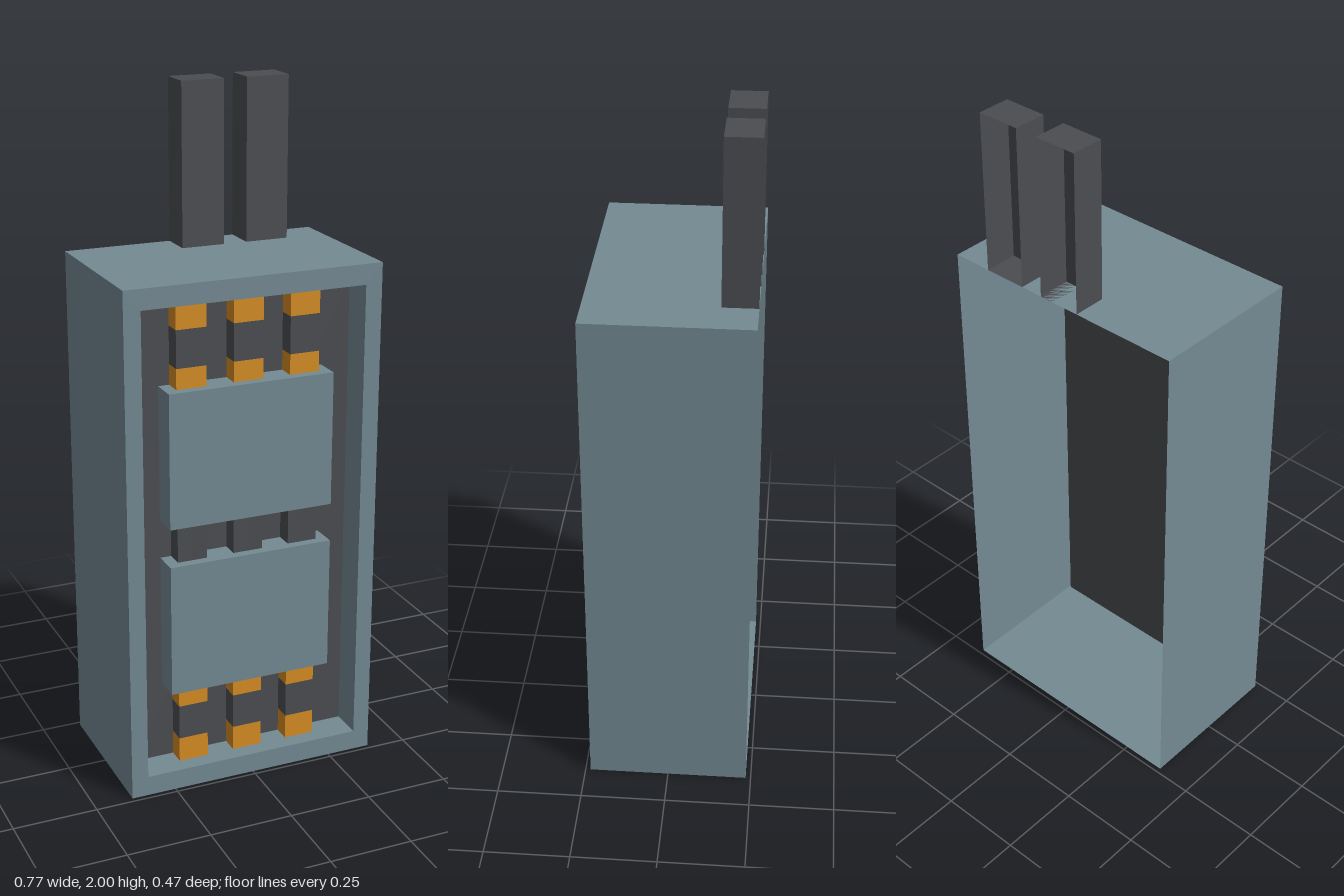
import * as THREE from 'three';

const material = (name, color) => {
  const m = new THREE.MeshStandardMaterial({ color, side: THREE.DoubleSide });
  m.name = name;
  return m;
};

export function createModel() {
  const blueGrey = material('blue grey casing', 0x748a93);
  const charcoal = material('charcoal', 0x4b4d51);
  const orange = material('orange contacts', 0xd68d23);

  const model = new THREE.Group();
  model.name = 'electricalCabinet';

  const add = (name, geometry, mat, parent = model) => {
    const mesh = new THREE.Mesh(geometry, mat);
    mesh.name = name;
    parent.add(mesh);
    return mesh;
  };

  // Box from its limits, keeping the first faces in the order +x -x +y -y +z -z
  const box = (x0, x1, y0, y1, z0, z1, faces = 5) => {
    const g = new THREE.BoxGeometry(x1 - x0, y1 - y0, z1 - z0);
    g.setIndex(Array.from(g.index.array).slice(0, faces * 6));
    g.clearGroups();
    return g.translate((x0 + x1) / 2, (y0 + y1) / 2, (z0 + z1) / 2);
  };

  const W = 0.385, H = 1.525, D = 0.235;             // cabinet half width, height, half depth
  const w = 0.335, low = 0.06, high = 1.465;         // front opening
  const back = 0.135;                                // depth of the recessed panel

  // Casing: four outer walls, open at the back
  add('casingWalls', box(-W, W, 0, H, -D, D, 4), blueGrey);

  // Front frame with its opening
  const rect = (T, x, y0, y1) => {
    const r = new T();
    r.moveTo(-x, y0).lineTo(x, y0).lineTo(x, y1).lineTo(-x, y1).closePath();
    return r;
  };
  const frame = rect(THREE.Shape, W, 0, H);
  frame.holes.push(rect(THREE.Path, w, low, high));
  add('frontFrame', new THREE.ShapeGeometry(frame).translate(0, 0, D), blueGrey);

  // Recess behind the opening
  add('recessWalls', box(-w, w, low, high, back, D, 4), blueGrey);
  add('backPanel', new THREE.PlaneGeometry(2 * w, high - low)
    .translate(0, (low + high) / 2, back), charcoal);

  // Three conductor bars, banded with orange contacts
  const bands = [
    [low, 0.135, orange], [0.135, 0.24, charcoal], [0.24, 0.30, orange],
    [0.30, 1.215, charcoal],
    [1.215, 1.275, orange], [1.275, 1.385, charcoal], [1.385, high, orange],
  ];
  for (const x of [-0.172, 0, 0.172]) {
    const bar = new THREE.Group();
    bar.name = 'conductorBar';
    model.add(bar);
    for (const [y0, y1, mat] of bands) {
      add(mat === orange ? 'contact' : 'barSection',
        box(x - 0.045, x + 0.045, y0, y1, back, 0.187), mat, bar);
    }
  }

  // Two cover plates across the bars
  for (const y of [0.30, 0.815]) {
    add('coverPlate', box(-0.25, 0.25, y, y + 0.4, back, 0.215), blueGrey);
  }

  // Two cable ducts at the rear of the top, open at the back
  for (const x of [0, 0.2]) {
    add('cableDuct', box(x - 0.065, x + 0.065, H, 2, -D, -0.135), charcoal);
  }

  return model;
}
